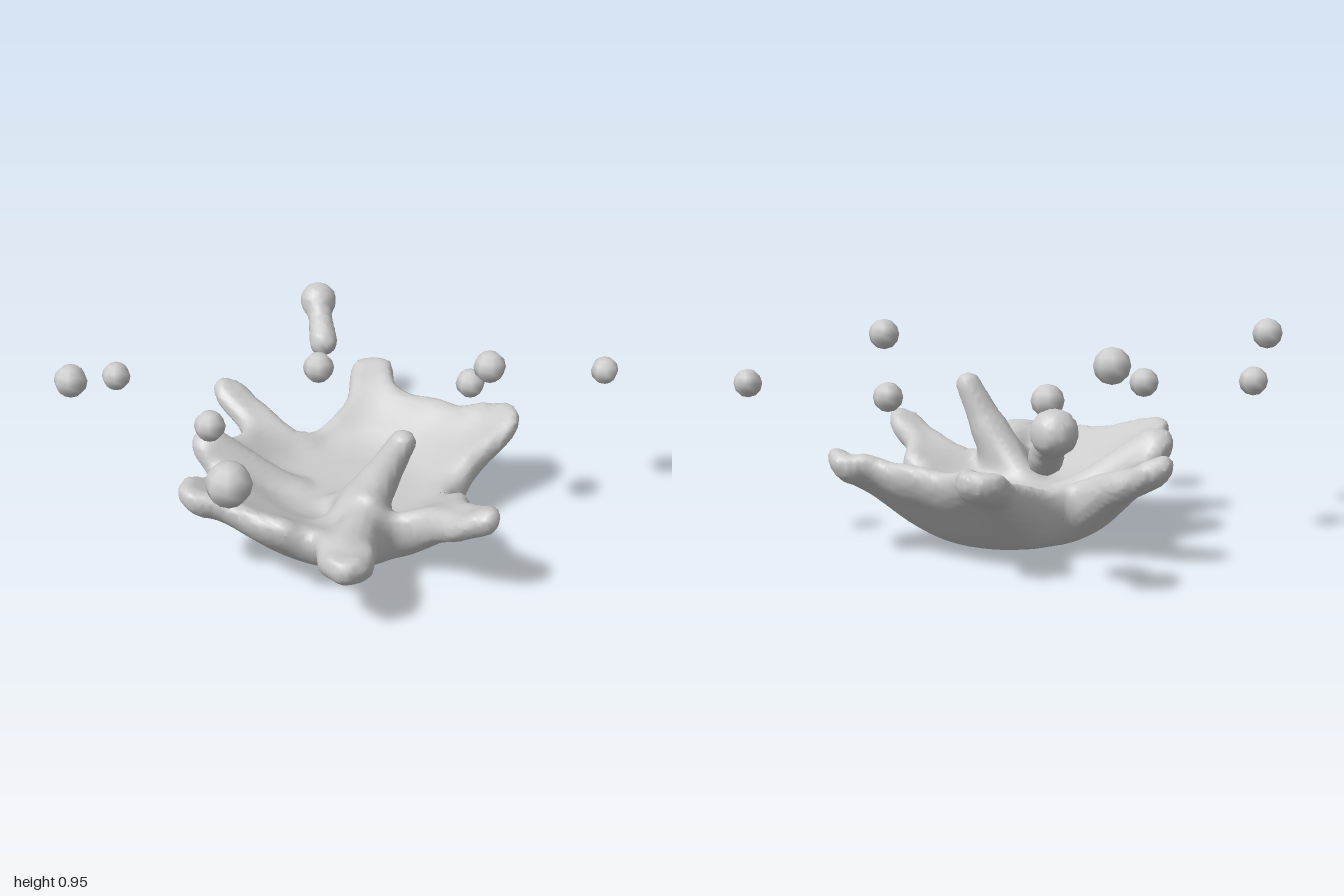
import * as THREE from 'three';

const material = new THREE.MeshStandardMaterial({ color: 0xcccccc });
const V = (x, y, z) => new THREE.Vector3(x, y, z);
const { smoothstep, clamp, lerp } = THREE.MathUtils;

// Rim of the splash, clockwise from above: x, z, height of the sheet's middle
const RIM = [
  [0.9, 0.01, 0.43], [0.8, 0.09, 0.4], [0.56, 0.08, 0.28], [0.47, 0.13, 0.25],
  [0.48, 0.24, 0.24], [0.56, 0.34, 0.28], [0.66, 0.49, 0.33], [0.62, 0.6, 0.335],
  [0.5, 0.6, 0.33], [0.35, 0.5, 0.3], [0.26, 0.58, 0.36], [0, 0.67, 0.4],
  [-0.1, 0.75, 0.42], [-0.2, 0.73, 0.42], [-0.26, 0.62, 0.4], [-0.27, 0.47, 0.32],
  [-0.42, 0.45, 0.43], [-0.49, 0.38, 0.42], [-0.49, 0.15, 0.31], [-0.55, 0.06, 0.31],
  [-0.78, 0.03, 0.43], [-0.81, -0.05, 0.43], [-0.72, -0.12, 0.4], [-0.48, -0.13, 0.28],
  [-0.38, -0.15, 0.24], [-0.36, -0.3, 0.25], [-0.4, -0.48, 0.33], [-0.51, -0.63, 0.41],
  [-0.47, -0.73, 0.42], [-0.37, -0.76, 0.42], [-0.24, -0.65, 0.39], [0, -0.69, 0.38],
  [0.15, -0.72, 0.39], [0.28, -0.83, 0.41], [0.42, -0.75, 0.41], [0.4, -0.5, 0.28],
  [0.42, -0.35, 0.18], [0.46, -0.25, 0.2], [0.56, -0.23, 0.27], [0.68, -0.11, 0.34],
  [0.84, -0.07, 0.42],
];
const OUTLINE = new THREE.CatmullRomCurve3(RIM.map(([x, z, y]) => V(x, y, z)), true).getPoints(RIM.length * 4);
const EDGE = 0.062; // rounding of the sheet's edge

// Signed distance to the outline as seen from above
function outlineDistance(x, z) {
  let best = Infinity, inside = false;
  for (let i = 0; i < OUTLINE.length - 1; i++) {
    const a = OUTLINE[i], b = OUTLINE[i + 1];
    const ex = b.x - a.x, ez = b.z - a.z;
    const t = clamp(((x - a.x) * ex + (z - a.z) * ez) / (ex * ex + ez * ez + 1e-12), 0, 1);
    best = Math.min(best, Math.hypot(x - a.x - ex * t, z - a.z - ez * t));
    if (a.z > z !== b.z > z && x < a.x + (ex * (z - a.z)) / ez) inside = !inside;
  }
  return inside ? -best : best;
}

// The sheet is a bowl, thicker in the middle, lifted smoothly to meet the rim heights
const CENTER = { x: 0.05, z: -0.04 };
const radius = (x, z) => Math.hypot(x - CENTER.x, z - CENTER.z);
const halfThickness = (r) => lerp(0.11, 0.064, smoothstep(r, 0.4, 0.72));
const bowl = (r) => 0.37 * smoothstep(r, 0.25, 0.95) + 0.05 * r + halfThickness(r);
const anchors = RIM.map(([x, z, y]) => [x, z, y - bowl(radius(x, z))]);
for (const r of [0.1, 0.22, 0.34])
  for (let i = 0; i < 12; i++) {
    const a = (i * Math.PI) / 6;
    anchors.push([CENTER.x + r * Math.cos(a), CENTER.z + r * Math.sin(a), 0]);
  }
function sheetHeight(x, z) {
  let sum = 0, total = 0;
  for (const [ax, az, lift] of anchors) {
    const w = 1 / ((x - ax) ** 2 + (z - az) ** 2 + 0.004) ** 2;
    sum += w * lift;
    total += w;
  }
  return bowl(radius(x, z)) + sum / total;
}

// Distance to a tapered round-ended strand
function strand(p, a, b, ra, rb) {
  const ab = b.clone().sub(a);
  const t = clamp(p.clone().sub(a).dot(ab) / ab.lengthSq(), 0, 1);
  return p.distanceTo(ab.multiplyScalar(t).add(a)) - lerp(ra, rb, t);
}

function blend(a, b, k) {
  const h = Math.max(k - Math.abs(a - b), 0) / k;
  return Math.min(a, b) - (h * h * k) / 4;
}

// Strands melted into the sheet: start, end, radii
const STRANDS = [
  [V(0.27, 0.26, 0.14), V(0.425, 0.63, 0.05), 0.1, 0.056], // tall jet
  [V(0.1, 0.2, 0.11), V(0.33, 0.42, 0.1), 0.05, 0.06], // web behind the jet
  [V(0.28, 0.3, 0.14), V(0.26, 0.24, 0.32), 0.07, 0.05], // front root of the jet
  [V(0.33, 0.3, 0.16), V(0.5, 0.33, 0.47), 0.07, 0.06], // ridge to the front left finger
  [V(-0.12, 0.2, 0.12), V(-0.4, 0.42, 0.36), 0.04, 0.07], // front right ridge
];

// Field per column (x, z): returns a function of height
function crownField(x, z) {
  const edge = Math.max(outlineDistance(x, z) + EDGE, 0);
  const middle = sheetHeight(x, z);
  const squash = EDGE / halfThickness(radius(x, z));
  return (y) => {
    const p = V(x, y, z);
    let d = Math.hypot(edge, (y - middle) * squash) - EDGE;
    for (const s of STRANDS) d = blend(d, strand(p, ...s), 0.06);
    return d;
  };
}

function stretchedDropField(x, z) {
  const head = V(-0.805, 0.663, -0.69), tail = V(-0.645, 0.53, -0.565);
  return (y) => {
    const p = V(x, y, z);
    return blend(p.distanceTo(head) - 0.09, strand(p, head, tail, 0.05, 0.07), 0.03);
  };
}

// Skin the zero surface of a field: one vertex per crossed cell, one quad per crossed edge
function skin(field, min, max, step) {
  const n = max.clone().sub(min).divideScalar(step).ceil().toArray();
  const stride = [1, n[0], n[0] * n[1]];
  const values = new Float32Array(n[0] * n[1] * n[2]);
  for (let k = 0; k < n[2]; k++)
    for (let i = 0; i < n[0]; i++) {
      const column = field(min.x + i * step, min.z + k * step);
      for (let j = 0; j < n[1]; j++) values[i + j * stride[1] + k * stride[2]] = column(min.y + j * step);
    }

  const positions = [], index = [], vertexOf = new Map();
  const cornerOffset = (c) => (c & 1) * stride[0] + ((c >> 1) & 1) * stride[1] + (c >> 2) * stride[2];
  for (let k = 0; k < n[2] - 1; k++)
    for (let j = 0; j < n[1] - 1; j++)
      for (let i = 0; i < n[0] - 1; i++) {
        const cell = i + j * stride[1] + k * stride[2];
        const sum = [0, 0, 0];
        let crossings = 0;
        for (let c = 0; c < 8; c++)
          for (let axis = 0; axis < 3; axis++) {
            if (c & (1 << axis)) continue;
            const f0 = values[cell + cornerOffset(c)];
            const f1 = values[cell + cornerOffset(c) + stride[axis]];
            if (f0 < 0 === f1 < 0) continue;
            for (let m = 0; m < 3; m++) sum[m] += m === axis ? f0 / (f0 - f1) : (c >> m) & 1;
            crossings++;
          }
        if (!crossings) continue;
        vertexOf.set(cell, positions.length / 3);
        [i, j, k].forEach((g, m) => positions.push(min.getComponent(m) + (g + sum[m] / crossings) * step));
      }

  for (const cell of vertexOf.keys())
    for (let axis = 0; axis < 3; axis++) {
      const solid = values[cell] < 0;
      if (solid === values[cell + stride[axis]] < 0) continue;
      const u = stride[(axis + 1) % 3], v = stride[(axis + 2) % 3];
      const [a, b, c, d] = [cell, cell - u, cell - u - v, cell - v].map((id) => vertexOf.get(id));
      index.push(...(solid ? [a, b, c, a, c, d] : [a, c, b, a, d, c]));
    }

  const geometry = new THREE.BufferGeometry();
  geometry.setAttribute('position', new THREE.Float32BufferAttribute(positions, 3));
  geometry.setIndex(index);
  geometry.computeVertexNormals();
  return geometry;
}

export function createModel() {
  const group = new THREE.Group();
  group.name = 'liquidSplash';
  const add = (name, geometry) => {
    const mesh = new THREE.Mesh(geometry, material);
    mesh.name = name;
    group.add(mesh);
    return mesh;
  };

  add('splashCrown', skin(crownField, V(-0.95, -0.08, -0.92), V(0.98, 0.76, 0.86), 0.024));
  add('stretchedDrop', skin(stretchedDropField, V(-0.97, 0.4, -0.85), V(-0.5, 0.82, -0.42), 0.03));

  // Flying drops: x, y, z, radius
  const drops = [
    [0.713, 0.71, -0.943, 0.06], [0.3, 0.65, -0.53, 0.064], [0.547, 0.88, -0.34, 0.067],
    [-0.275, 0.657, -0.165, 0.07], [-0.762, 0.71, 0.585, 0.062], [-0.59, 0.87, 0.93, 0.068],
    [-0.212, 0.652, 0.53, 0.066], [0.205, 0.66, 0.795, 0.093],
  ];
  for (const [x, y, z, r] of drops) add('drop', new THREE.SphereGeometry(r, 8, 6)).position.set(x, y, z);

  return group;
}
